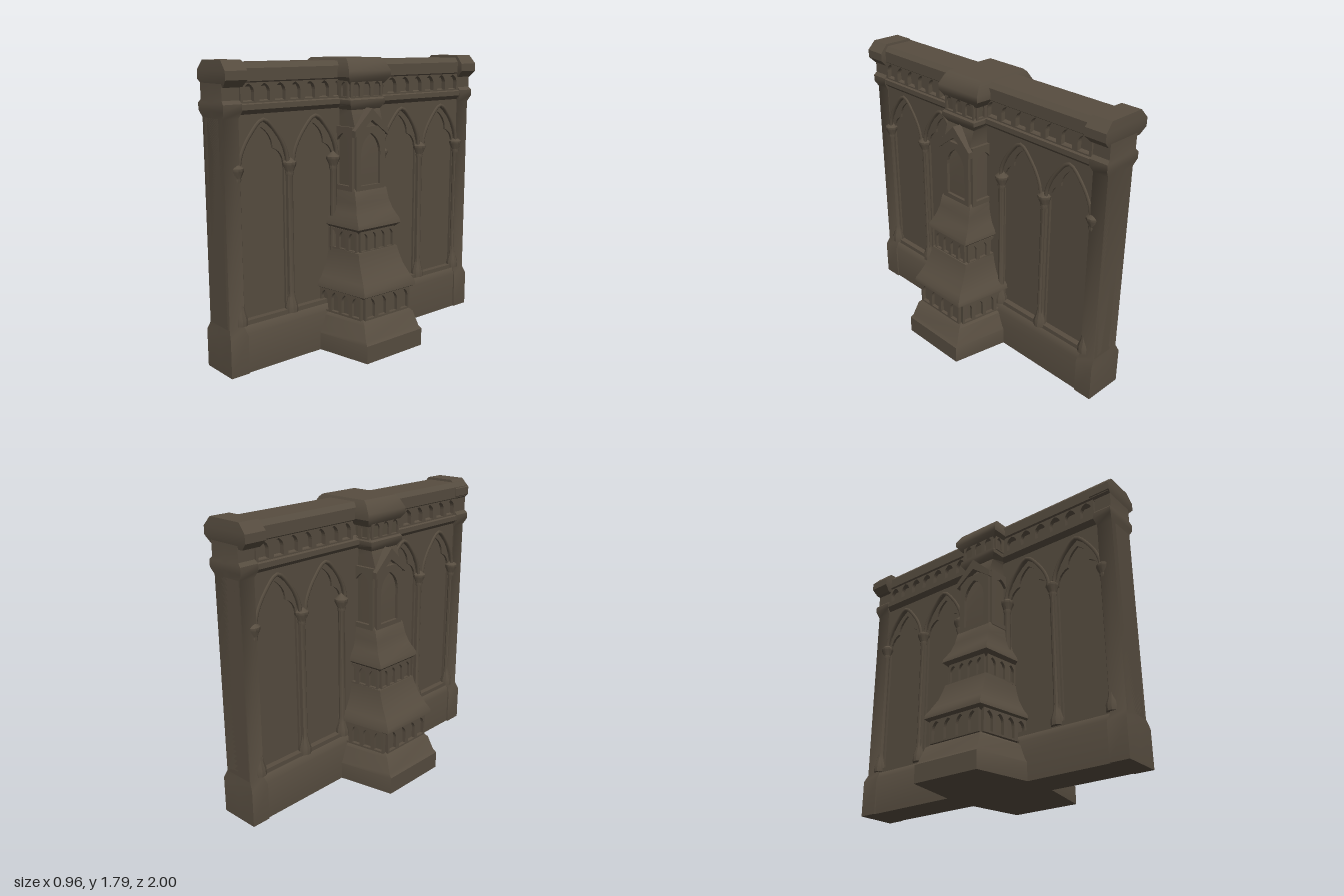
import * as THREE from 'three';
import { toCreasedNormals } from 'three/addons/utils/BufferGeometryUtils.js';

const stone = new THREE.MeshStandardMaterial({ color: 0x574d40 });
stone.name = 'weathered stone';

function add(parent, name, geometry, x = 0, y = 0, z = 0) {
  const mesh = new THREE.Mesh(geometry, stone);
  mesh.name = name;
  mesh.position.set(x, y, z);
  parent.add(mesh);
  return mesh;
}

// Stack of six-sided plans; each level is [y, half x, half z at the outer face, half z at the middle]
function loft(levels) {
  const rings = levels.map(([y, hx, zo, zi = zo]) => [
    [hx, y, zo], [hx, y, -zo], [0, y, -zi], [-hx, y, -zo], [-hx, y, zo], [0, y, zi]]);
  const pos = [];
  const tri = (a, b, c) => pos.push(...a, ...b, ...c);
  for (let k = 0; k < rings.length - 1; k++) {
    for (let i = 0; i < 6; i++) {
      const j = (i + 1) % 6, lo = rings[k], hi = rings[k + 1];
      tri(lo[i], lo[j], hi[j]);
      tri(lo[i], hi[j], hi[i]);
    }
  }
  const base = rings[0], top = rings[rings.length - 1];
  for (let i = 1; i < 5; i++) {
    tri(top[0], top[i], top[i + 1]);
    tri(base[0], base[i + 1], base[i]);
  }
  const g = new THREE.BufferGeometry();
  g.setAttribute('position', new THREE.Float32BufferAttribute(pos, 3));
  return toCreasedNormals(g, 0.6);
}

// Pointed arch opening, optionally with cusps
function lancet(cx, w, y0, spring, apex, cusped = false) {
  const p = new THREE.Path(), h = w / 2, rise = apex - spring;
  p.moveTo(cx - h, y0);
  p.lineTo(cx + h, y0);
  p.lineTo(cx + h, spring);
  if (cusped) {
    p.quadraticCurveTo(cx + h, spring + rise * 0.4, cx + h * 0.5, spring + rise * 0.5);
    p.quadraticCurveTo(cx + h * 0.5, spring + rise * 0.8, cx, apex);
    p.quadraticCurveTo(cx - h * 0.5, spring + rise * 0.8, cx - h * 0.5, spring + rise * 0.5);
    p.quadraticCurveTo(cx - h, spring + rise * 0.4, cx - h, spring);
  } else {
    p.quadraticCurveTo(cx + h * 0.95, spring + rise * 0.65, cx, apex);
    p.quadraticCurveTo(cx - h * 0.95, spring + rise * 0.65, cx - h, spring);
  }
  p.lineTo(cx - h, y0);
  return p;
}

function plate(x0, x1, y0, y1, depth, holes) {
  const s = new THREE.Shape();
  s.moveTo(x0, y0);
  s.lineTo(x1, y0);
  s.lineTo(x1, y1);
  s.lineTo(x0, y1);
  s.holes.push(...holes);
  return new THREE.ExtrudeGeometry(s, { depth, bevelEnabled: false, curveSegments: 6 });
}

// Row of n arches on the upright face running from a to b, given as [x, z]
function arcade(parent, name, a, b, y0, y1, n, depth) {
  const dx = b[0] - a[0], dz = b[1] - a[1], w = Math.hypot(dx, dz), step = w / n, h = y1 - y0;
  const holes = [];
  for (let i = 0; i < n; i++) {
    holes.push(lancet((i + 0.5) * step, step * 0.68, y0 + h * 0.08, y1 - Math.min(h * 0.5, step * 0.7), y1 - h * 0.1));
  }
  const mesh = add(parent, name, plate(0, w, y0, y1, depth, holes), a[0], 0, a[1]);
  mesh.rotation.y = Math.atan2(-dz, dx);
}

// Tracery, columns and frieze on one long face of the wall
function wallFace() {
  const face = new THREE.Group();
  face.name = 'wallFace';
  const centres = [-0.725, -0.355, 0.355, 0.725];
  const tracery = add(face, 'archSurround', plate(-0.99, 0.99, 0.28, 1.52, 0.037,
    centres.map(c => lancet(c, 0.33, 0.31, 1.18, 1.46))), 0.06);
  const cusps = add(face, 'cuspedTracery', plate(-0.95, 0.95, 0.28, 1.5, 0.015,
    centres.map(c => lancet(c, 0.305, 0.31, 1.17, 1.42, true))), 0.06);
  tracery.rotation.y = cusps.rotation.y = Math.PI / 2;

  // Raised moulding round each arch head
  for (const c of centres) {
    const half = [[-0.17, 1.17], [-0.155, 1.27], [-0.09, 1.385], [0, 1.465], [0.09, 1.385], [0.155, 1.27], [0.17, 1.17]];
    const curve = new THREE.CatmullRomCurve3(half.map(([z, y]) => new THREE.Vector3(0.096, y, c + z)));
    add(face, 'archMoulding', new THREE.TubeGeometry(curve, 24, 0.012, 6));
  }

  // Slim columns with capital and foot
  const column = [[0.001, 0.29], [0.04, 0.29], [0.04, 0.33], [0.024, 0.38], [0.02, 0.42], [0.02, 1.12],
    [0.026, 1.14], [0.024, 1.15], [0.042, 1.19], [0.042, 1.205], [0.001, 1.24]];
  for (const z of [-0.9, -0.54, -0.19, 0.21, 0.54, 0.9]) {
    add(face, 'column', toCreasedNormals(
      new THREE.LatheGeometry(column.map(p => new THREE.Vector2(...p)), 10), 0.6), 0.085, 0, z);
  }
  arcade(face, 'friezeArches', [0.085, 0.88], [0.085, 0.14], 1.56, 1.68, 7, 0.03);
  arcade(face, 'friezeArches', [0.085, -0.08], [0.085, -0.88], 1.56, 1.68, 7, 0.03);
  return face;
}

// Arched bands, niche and gable on one half of the buttress
function buttressFace() {
  const face = new THREE.Group();
  face.name = 'buttressFace';
  const band = (name, hx, zo, zi, y0, y1, nFront, nSide, depth) => {
    arcade(face, name, [hx, zo], [hx, -zo], y0, y1, nFront, depth);
    arcade(face, name, [0.06, zi], [hx, zo], y0, y1, nSide, depth);
    arcade(face, name, [hx, -zo], [0.06, -zi], y0, y1, nSide, depth);
  };
  band('lowerArcade', 0.39, 0.185, 0.235, 0.24, 0.39, 4, 4, 0.022);
  band('middleArcade', 0.295, 0.14, 0.165, 0.63, 0.765, 4, 3, 0.018);
  band('topFrieze', 0.195, 0.125, 0.13, 1.56, 1.67, 3, 2, 0.015);
  band('niche', 0.228, 0.115, 0.125, 1.0, 1.39, 1, 1, 0.02);

  // Gabled hood over the niche
  const s = new THREE.Shape();
  s.moveTo(-0.135, 1.33);
  s.lineTo(0, 1.43);
  s.lineTo(0.135, 1.33);
  s.lineTo(0.135, 1.37);
  s.lineTo(0, 1.5);
  s.lineTo(-0.135, 1.37);
  const gable = add(face, 'nicheGable', new THREE.ExtrudeGeometry(s, { depth: 0.06, bevelEnabled: false }), 0.2);
  gable.rotation.y = Math.PI / 2;
  return face;
}

export function createModel() {
  const model = new THREE.Group();
  model.name = 'buttressedWall';

  // Wall body: plinth, recessed panel, string course, frieze and coping
  const side = [[0.12, 0], [0.12, 0.24], [0.1, 0.28], [0.06, 0.31], [0.06, 1.48], [0.1, 1.5], [0.128, 1.525],
    [0.128, 1.555], [0.085, 1.575], [0.085, 1.65], [0.125, 1.68], [0.125, 1.75], [0.1, 1.78]];
  const outline = [...side, ...side.map(([x, y]) => [-x, y]).reverse()];
  const wall = new THREE.ExtrudeGeometry(
    new THREE.Shape(outline.map(p => new THREE.Vector2(...p))), { depth: 1.98, bevelEnabled: false });
  add(model, 'wallBody', toCreasedNormals(wall, 0.5), 0, 0, -0.99);

  for (const turn of [0, Math.PI]) {
    const face = wallFace();
    face.rotation.y = turn;
    model.add(face);
  }

  // End posts and their caps
  for (const [end, capX, capHalf] of [[1, 0.015, 0.145], [-1, -0.01, 0.17]]) {
    add(model, 'endPost', loft([[0, 0.13, 0.06], [0.23, 0.13, 0.06], [0.28, 0.105, 0.05], [1.48, 0.105, 0.05],
      [1.52, 0.13, 0.06], [1.56, 0.13, 0.06], [1.58, 0.11, 0.055], [1.7, 0.11, 0.055]]), 0, 0, end * 0.94);
    add(model, 'endCap', loft([[1.65, capHalf - 0.04, 0.06], [1.69, capHalf, 0.07], [1.74, capHalf, 0.07],
      [1.795, capHalf - 0.05, 0.065]]), capX, 0, end * 0.93);
  }

  // Stepped buttress through the middle of the wall
  const buttress = new THREE.Group();
  buttress.name = 'buttress';
  buttress.position.z = 0.047;
  model.add(buttress);
  add(buttress, 'buttressBody', loft([
    [0, 0.48, 0.23, 0.322], [0.11, 0.48, 0.23, 0.322], [0.13, 0.46, 0.222, 0.31], [0.22, 0.425, 0.205, 0.275],
    [0.245, 0.39, 0.185, 0.235], [0.37, 0.39, 0.185, 0.235], [0.395, 0.435, 0.215, 0.28], [0.42, 0.432, 0.212, 0.275],
    [0.46, 0.405, 0.195, 0.245], [0.53, 0.36, 0.175, 0.21], [0.6, 0.33, 0.165, 0.19], [0.635, 0.32, 0.16, 0.185],
    [0.64, 0.295, 0.14, 0.165], [0.75, 0.295, 0.14, 0.165], [0.785, 0.335, 0.175, 0.205], [0.81, 0.33, 0.172, 0.2],
    [0.87, 0.29, 0.15, 0.165], [0.93, 0.268, 0.135, 0.15], [1.0, 0.25, 0.13, 0.143], [1.02, 0.228, 0.115, 0.125],
    [1.4, 0.228, 0.115, 0.125], [1.49, 0.2, 0.115, 0.125], [1.525, 0.222, 0.14, 0.145], [1.55, 0.222, 0.14, 0.145],
    [1.57, 0.195, 0.125, 0.13], [1.66, 0.2, 0.13, 0.135]]));
  add(buttress, 'buttressCap', loft([[1.64, 0.2, 0.135], [1.685, 0.23, 0.168, 0.172], [1.72, 0.23, 0.168, 0.172],
    [1.775, 0.195, 0.15], [1.795, 0.17, 0.14]]), 0, 0, -0.01);
  for (const turn of [0, Math.PI]) {
    const face = buttressFace();
    face.rotation.y = turn;
    buttress.add(face);
  }
  return model;
}
